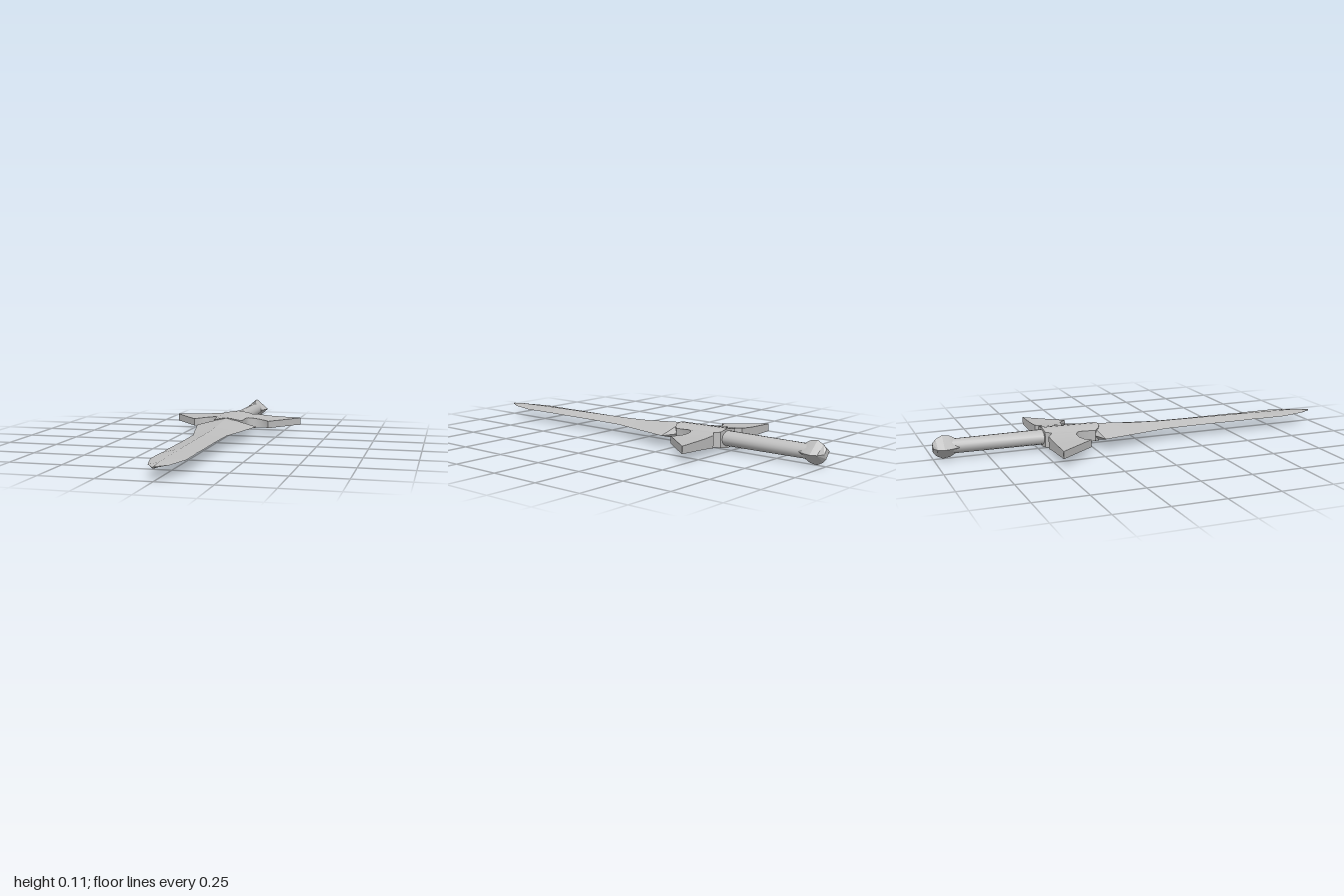
import * as THREE from 'three';
import { toCreasedNormals } from 'three/addons/utils/BufferGeometryUtils.js';

const MID = 0.06; // height of the sword's centre plane

// Skin a row of matching rings and cap both ends
function loft(rings, crease) {
  const pos = [];
  const tri = (...pts) => pts.forEach((p) => pos.push(...p));
  const n = rings[0].length;
  for (let i = 0; i < rings.length - 1; i++) {
    for (let j = 0; j < n; j++) {
      const k = (j + 1) % n;
      const [a, b, c, d] = [rings[i][j], rings[i][k], rings[i + 1][k], rings[i + 1][j]];
      tri(a, b, c);
      tri(a, c, d);
    }
  }
  const first = rings[0], last = rings[rings.length - 1];
  for (let j = 1; j < n - 1; j++) {
    tri(first[0], first[j + 1], first[j]);
    tri(last[0], last[j], last[j + 1]);
  }
  const g = new THREE.BufferGeometry();
  g.setAttribute('position', new THREE.Float32BufferAttribute(pos, 3));
  return toCreasedNormals(g, crease);
}

// Elliptical ring across z; four sides give a diamond
const ringZ = (z, rx, ry, sides) => Array.from({ length: sides }, (_, i) => {
  const a = (i / sides) * Math.PI * 2;
  return [Math.cos(a) * rx, Math.sin(a) * ry, z];
});
const loftZ = (rows, sides, crease) =>
  loft(rows.map(([z, rx, ry]) => ringZ(z, rx, ry, sides)), crease);

export function createModel() {
  const model = new THREE.Group();
  model.name = 'sword';
  const steel = new THREE.MeshStandardMaterial({ color: 0xbfbfbf });
  steel.name = 'steel grey';
  const add = (name, geometry) => {
    const mesh = new THREE.Mesh(geometry, steel);
    mesh.name = name;
    mesh.position.y = MID;
    model.add(mesh);
  };

  // Blade: z, half width, half thickness
  add('blade', loftZ([
    [-0.235, 0.085, 0.042], [-0.21, 0.158, 0.042], [-0.1, 0.134, 0.034],
    [0, 0.113, 0.026], [0.13, 0.083, 0.021], [0.3, 0.078, 0.019],
    [0.59, 0.078, 0.016], [0.62, 0.074, 0.016], [0.66, 0.078, 0.015],
    [0.8, 0.078, 0.013], [0.93, 0.046, 0.01], [1, 0.002, 0.004],
  ], 4, 0.4));

  // Winged guard: x, back z, front z, back half height, front half height
  const half = [
    [0, -0.48, -0.2, 0.046, 0.043], [0.03, -0.48, -0.2, 0.042, 0.039],
    [0.058, -0.48, -0.215, 0.037, 0.031], [0.074, -0.458, -0.235, 0.035, 0.026],
    [0.08, -0.455, -0.318, 0.034, 0.03], [0.09, -0.462, -0.333, 0.033, 0.029],
    [0.113, -0.48, -0.343, 0.03, 0.026], [0.145, -0.48, -0.342, 0.027, 0.022],
    [0.18, -0.48, -0.325, 0.024, 0.019], [0.2, -0.48, -0.3, 0.023, 0.018],
    [0.34, -0.48, -0.478, 0.018, 0.018],
  ];
  const mirrored = half.slice(1).reverse().map(([x, ...rest]) => [-x, ...rest]);
  add('guard', loft([...mirrored, ...half].map(([x, zb, zf, hb, hf]) => [
    [x, hf, zf], [x, -hf, zf], [x, -hb, zb], [x, hb, zb],
  ]), 0.6));

  // Oval grip
  add('grip', loftZ([[-0.92, 0.038, 0.034], [-0.46, 0.046, 0.036]], 16, 0.6));

  // Faceted diamond pommel
  add('pommel', loftZ([
    [-1, 0.018, 0.022], [-0.985, 0.055, 0.04], [-0.955, 0.066, 0.056],
    [-0.92, 0.056, 0.05], [-0.885, 0.04, 0.03],
  ], 4, 0.3));

  return model;
}
